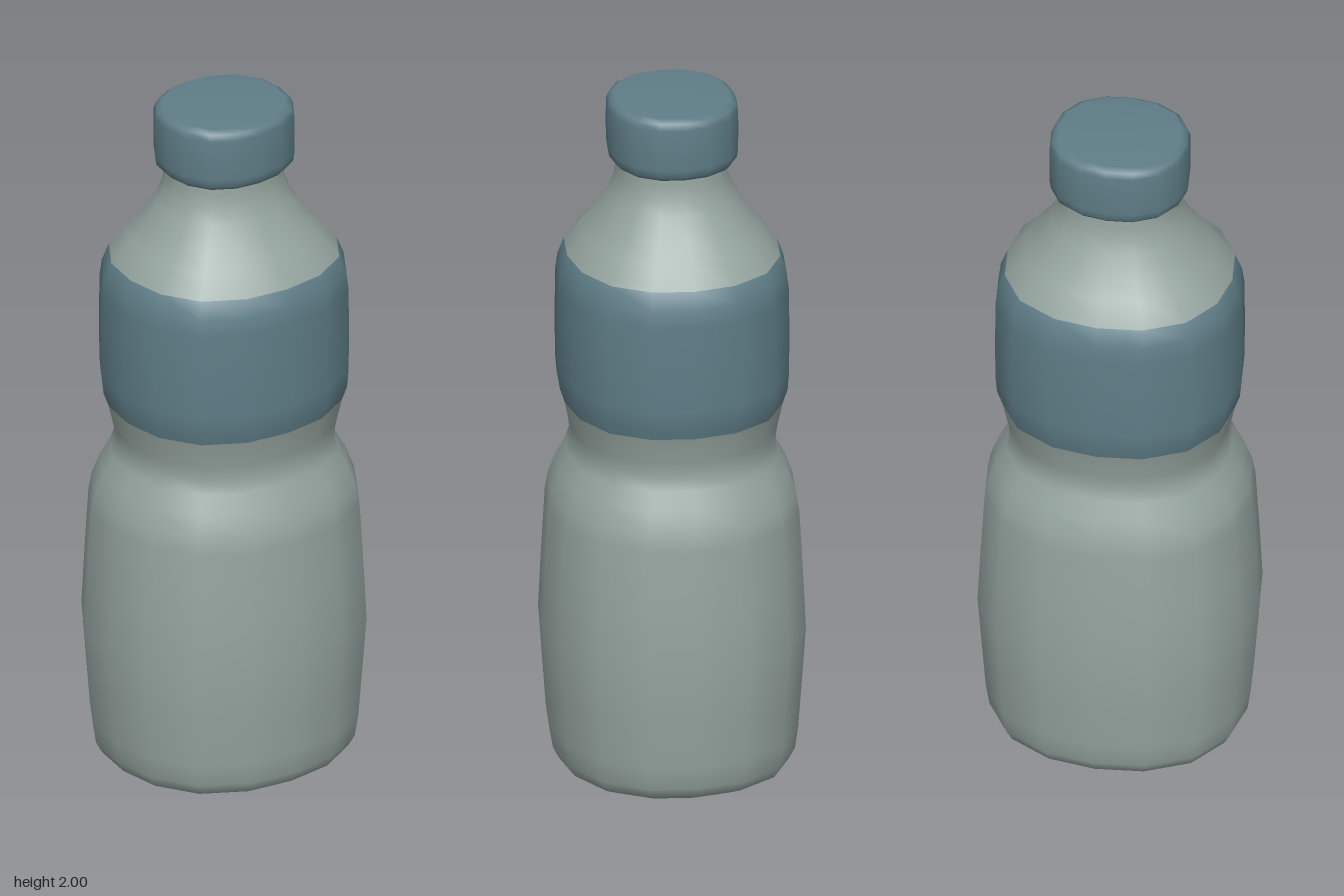
import * as THREE from 'three';
import { mergeVertices } from 'three/addons/utils/BufferGeometryUtils.js';

const SIDES = 16;
const DEPTH = 1.073; // the bottle is slightly deeper than wide

// Profiles as [radius, height], from bottom to top
const LOWER = [
  [0, 0], [0.2, 0.003], [0.28, 0.012], [0.318, 0.032], [0.335, 0.065], [0.344, 0.13],
  [0.354, 0.27], [0.365, 0.43], [0.357, 0.6], [0.347, 0.78], [0.339, 0.83],
  [0.318, 0.89], [0.292, 0.94], [0.281, 0.975], [0.285, 1.02], [0.302, 1.1],
];
const LABEL = [[0.315, 1.14], [0.319, 1.19], [0.32, 1.3], [0.319, 1.44], [0.313, 1.49], [0.295, 1.54]];
const UPPER = [[0.247, 1.6], [0.21, 1.65], [0.176, 1.71], [0.159, 1.75], [0.152, 1.79], [0.15, 1.84]];
const CAP = [
  [0.14, 1.815], [0.165, 1.815], [0.177, 1.828], [0.18, 1.85], [0.181, 1.91], [0.18, 1.97],
  [0.174, 1.988], [0.158, 1.998], [0, 2],
];

// Lathe with a slightly squared oval section and smooth shared normals
function ovalLathe(profile) {
  const lathe = new THREE.LatheGeometry(profile.map(([r, y]) => new THREE.Vector2(r, y)), SIDES);
  const p = lathe.attributes.position;
  for (let i = 0; i < p.count; i++) {
    const x = p.getX(i), z = p.getZ(i);
    const k = 1 + 0.045 * Math.sin(2 * Math.atan2(x, z)) ** 2;
    p.setX(i, x * k);
    p.setZ(i, z * k * DEPTH);
  }
  lathe.deleteAttribute('normal');
  lathe.deleteAttribute('uv');
  const merged = mergeVertices(lathe, 1e-5);
  merged.computeVertexNormals();
  return merged;
}

// Cut the rows from..to out of a lathe, keeping its normals across the cut
function rows(geometry, rowCount, from, to) {
  const all = Array.from(geometry.index.array);
  const perSide = all.length / SIDES;
  const picked = all.filter((_, i) => {
    const row = Math.floor((i % perSide) / (perSide / rowCount));
    return row >= from && row < to;
  });
  const part = geometry.clone();
  part.setIndex(picked);
  return part.toNonIndexed();
}

export function createModel() {
  const group = new THREE.Group();
  group.name = 'bottle';
  const plastic = new THREE.MeshStandardMaterial({ color: 0x95a49f });
  plastic.name = 'greyGreenPlastic';
  const blue = new THREE.MeshStandardMaterial({ color: 0x5f7d87 });
  blue.name = 'slateBlue';

  const add = (name, geometry, material) => {
    const mesh = new THREE.Mesh(geometry, material);
    mesh.name = name;
    group.add(mesh);
  };

  // Body: one continuous skin split into lower body, label and shoulder
  const profile = [...LOWER, ...LABEL, ...UPPER];
  const body = ovalLathe(profile);
  const count = profile.length - 1;
  const labelStart = LOWER.length - 1;
  const labelEnd = labelStart + LABEL.length;
  add('lowerBody', rows(body, count, 0, labelStart), plastic);
  add('label', rows(body, count, labelStart, labelEnd), blue);
  add('shoulderAndNeck', rows(body, count, labelEnd, count), plastic);

  // Screw cap
  add('cap', ovalLathe(CAP), blue);
  return group;
}
